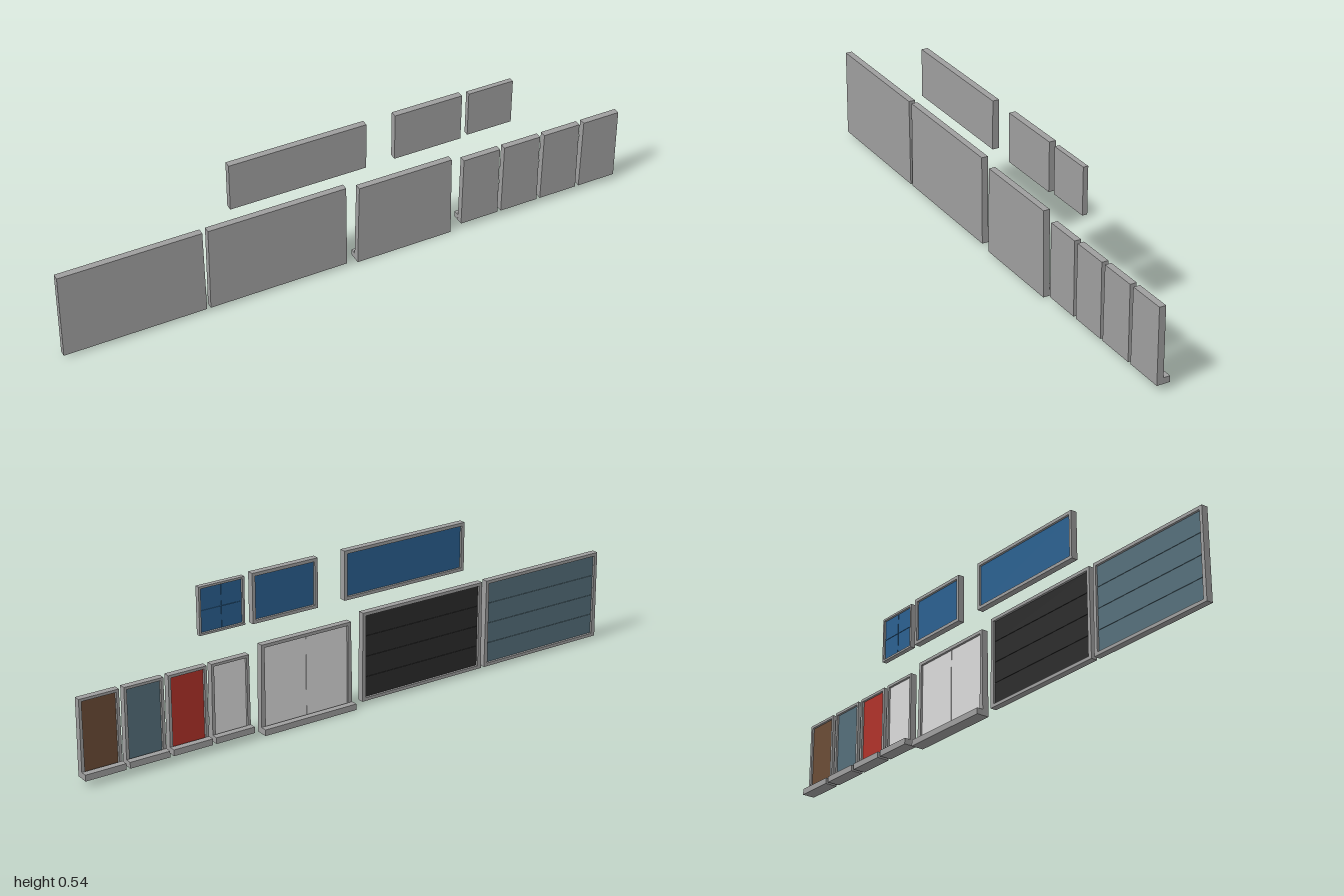
import * as THREE from 'three';

const mat = (name, color) => Object.assign(new THREE.MeshStandardMaterial({ color }), { name });

const DEPTH = 0.0225; // frame depth, from z = 0 (detailed side) to the plain front

export function createModel() {
  const frameGrey = mat('frameGrey', 0x9e9e9e);
  const white = mat('paleGrey', 0xdadada);
  const slate = mat('slate', 0x546e7a);
  const black = mat('black', 0x2b2b2b);
  const red = mat('red', 0xb03229);
  const brown = mat('brown', 0x6b4c36);
  const glass = mat('blueGlass', 0x2a6090);

  const box = (name, x0, x1, y0, y1, z0, z1, material) => {
    const mesh = new THREE.Mesh(new THREE.BoxGeometry(x1 - x0, y1 - y0, z1 - z0), material);
    mesh.position.set((x0 + x1) / 2, (y0 + y1) / 2, (z0 + z1) / 2);
    mesh.name = name;
    return mesh;
  };

  // One opening: tapered frame, plain front board, recessed leaves and optional sill
  function unit(o) {
    const g = new THREE.Group();
    g.name = o.name;
    const { x0, x1, y0, y1, border: b, taper: t = 0, z0 = 0, z1 = DEPTH } = o;
    const outline = () => [[x0, y0], [x1, y0], [x1 - t, y1], [x0 + t, y1]]
      .map(([x, y]) => new THREE.Vector2(x, y));
    const ix0 = x0 + b + t, ix1 = x1 - b - t, iy0 = y0 + b, iy1 = y1 - b;

    const ring = new THREE.Shape(outline());
    ring.holes.push(new THREE.Path([[ix0, iy0], [ix0, iy1], [ix1, iy1], [ix1, iy0]]
      .map(([x, y]) => new THREE.Vector2(x, y))));
    const boardZ = z0 + (z1 - z0) * 0.6;
    const extrude = (name, shape, from, to) => {
      const mesh = new THREE.Mesh(
        new THREE.ExtrudeGeometry(shape, { depth: to - from, bevelEnabled: false }), frameGrey);
      mesh.position.z = from;
      mesh.name = name;
      g.add(mesh);
    };
    extrude('frame', ring, z0, boardZ);
    extrude('frontBoard', new THREE.Shape(outline()), boardZ, z1);

    // Leaves in a grid with fine joints over a thin backing of the same colour
    const { cols = 1, rows = 1, color } = o;
    const leafZ = z0 + 0.006, joint = 0.0012;
    g.add(box('leafBacking', ix0, ix1, iy0, iy1, leafZ + 0.002, boardZ, color));
    const w = (ix1 - ix0) / cols, h = (iy1 - iy0) / rows;
    for (let c = 0; c < cols; c++) {
      for (let r = 0; r < rows; r++) {
        g.add(box('leaf', ix0 + c * w + joint, ix0 + (c + 1) * w - joint,
          iy0 + r * h + joint, iy0 + (r + 1) * h - joint, leafZ, leafZ + 0.003, color));
      }
    }

    if (o.sill) g.add(box('sill', x0, x1, y0, y0 + o.sill, -DEPTH, 0, frameGrey));
    return g;
  }

  const model = new THREE.Group();
  model.name = 'doorsAndWindows';

  // Garage doors with four horizontal sections
  const garage = { y0: 0.01, y1: 0.318, border: 0.011, taper: 0.003, rows: 4 };
  model.add(unit({ ...garage, name: 'slateGarageDoor', x0: -1, x1: -0.516, color: slate }));
  model.add(unit({ ...garage, name: 'blackGarageDoor', x0: -0.503, x1: -0.019, color: black }));

  // Double door
  model.add(unit({
    name: 'doubleDoor', x0: 0.02, x1: 0.366, y0: 0, y1: 0.3, border: 0.011, taper: 0.005,
    cols: 2, color: white, sill: 0.021,
  }));

  // Row of single doors
  [['pale', white], ['red', red], ['slate', slate], ['brown', brown]].forEach(([n, color], i) => {
    const x0 = 0.405 + i * 0.152;
    model.add(unit({
      name: n + 'Door', x0, x1: x0 + 0.139, y0: 0.021, y1: 0.28, border: 0.009, taper: 0.002,
      color, sill: 0.021,
    }));
  });

  // Windows
  const win = { y0: 0.377, y1: 0.544, border: 0.011, color: glass };
  model.add(unit({ ...win, name: 'wideWindow', x0: -0.422, x1: 0.049 }));
  model.add(unit({ ...win, name: 'mediumWindow', x0: 0.15, x1: 0.39 }));
  model.add(unit({
    ...win, name: 'fourPaneWindow', x0: 0.416, x1: 0.578, y0: 0.381, y1: 0.54, border: 0.007,
    z0: 0.003, z1: 0.02, cols: 2, rows: 2,
  }));

  return model;
}
